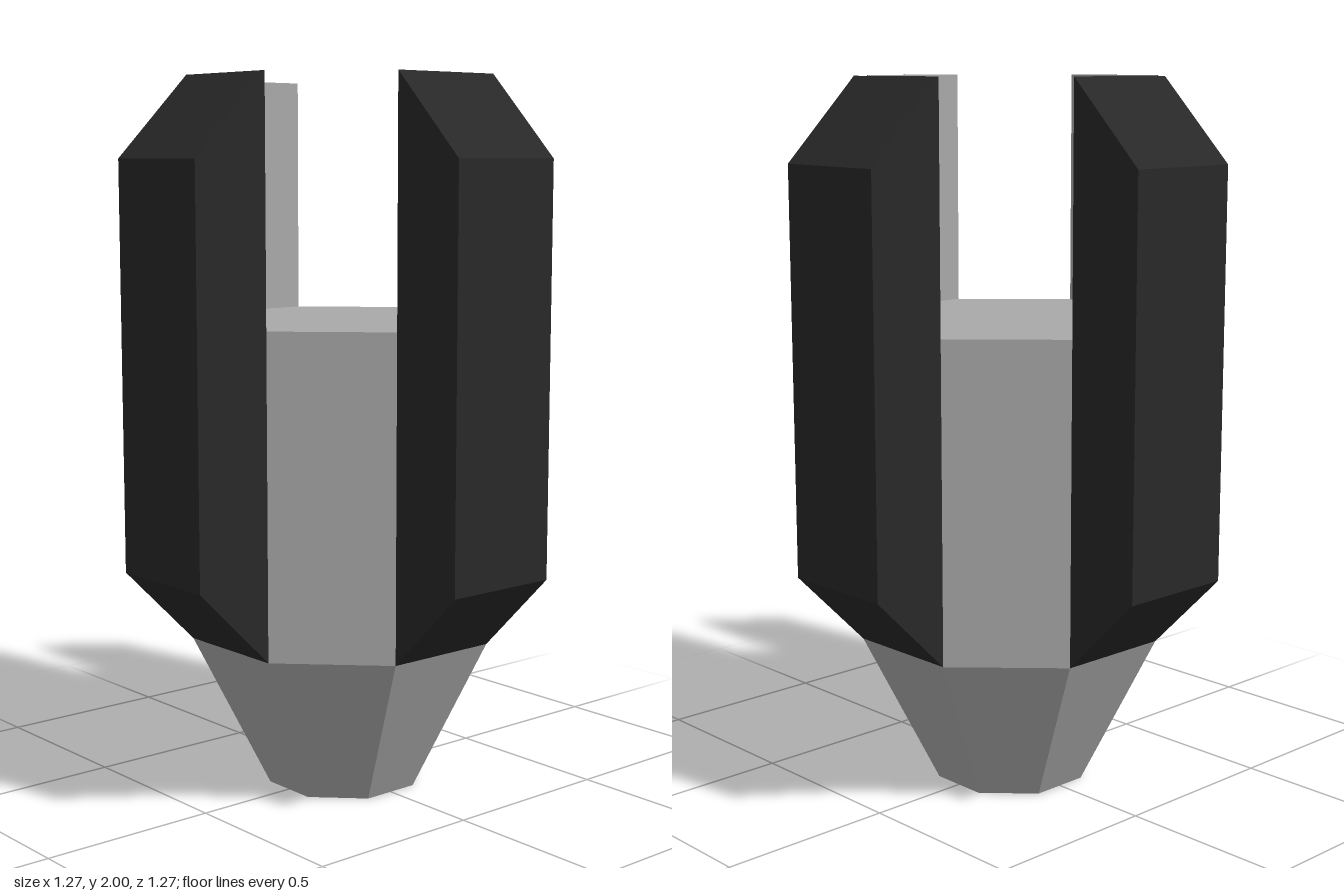
import * as THREE from 'three';

const R = 4 / 9;                              // octagon corner radius
const INNER = R * Math.cos(Math.PI / 8);      // centre to flat side
const HALF = R * Math.sin(Math.PI / 8);       // half a flat side
const BODY_TOP = 4 / 3, TOP = 2, DEPTH = 2 / 9;

const grey = new THREE.MeshStandardMaterial({ color: 0xa9a9a9 });
grey.name = 'grey';
const charcoal = new THREE.MeshStandardMaterial({ color: 0x282828 });
charcoal.name = 'charcoal';

function flat(geometry) {
  const g = geometry.index ? geometry.toNonIndexed() : geometry;
  g.computeVertexNormals();
  return g;
}

function addMesh(parent, name, geometry, material) {
  const mesh = new THREE.Mesh(geometry, material);
  mesh.name = name;
  parent.add(mesh);
  return mesh;
}

export function createModel() {
  const model = new THREE.Group();
  model.name = 'finnedCapsule';

  // Octagonal body tapering to a smaller octagon at the base
  const profile = [[0, 0], [R / 2, 0], [R, R], [R, BODY_TOP], [0, BODY_TOP]]
    .map(([x, y]) => new THREE.Vector2(x, y));
  addMesh(model, 'body', flat(new THREE.LatheGeometry(profile, 8, Math.PI / 8)), grey);

  // Fin profile with both outer corners chamfered
  const outer = INNER + DEPTH;
  const shape = new THREE.Shape([
    [INNER, R], [outer, R + DEPTH], [outer, TOP - DEPTH], [INNER, TOP],
  ].map(([x, y]) => new THREE.Vector2(x, y)));
  const finGeometry = new THREE.ExtrudeGeometry(shape, { depth: 2 * HALF, bevelEnabled: false });
  finGeometry.translate(0, 0, -HALF);

  // Pale lining on the inside of each fin, above the body
  const liningGeometry = new THREE.PlaneGeometry(2 * HALF, TOP - BODY_TOP);
  liningGeometry.rotateY(-Math.PI / 2);
  liningGeometry.translate(INNER - 0.002, (TOP + BODY_TOP) / 2, 0);

  ['leftFin', 'backFin', 'rightFin', 'frontFin'].forEach((name, i) => {
    const fin = new THREE.Group();
    fin.name = name;
    fin.rotation.y = i * Math.PI / 2;
    addMesh(fin, 'finShell', finGeometry, charcoal);
    addMesh(fin, 'finLining', liningGeometry, grey);
    model.add(fin);
  });

  return model;
}
